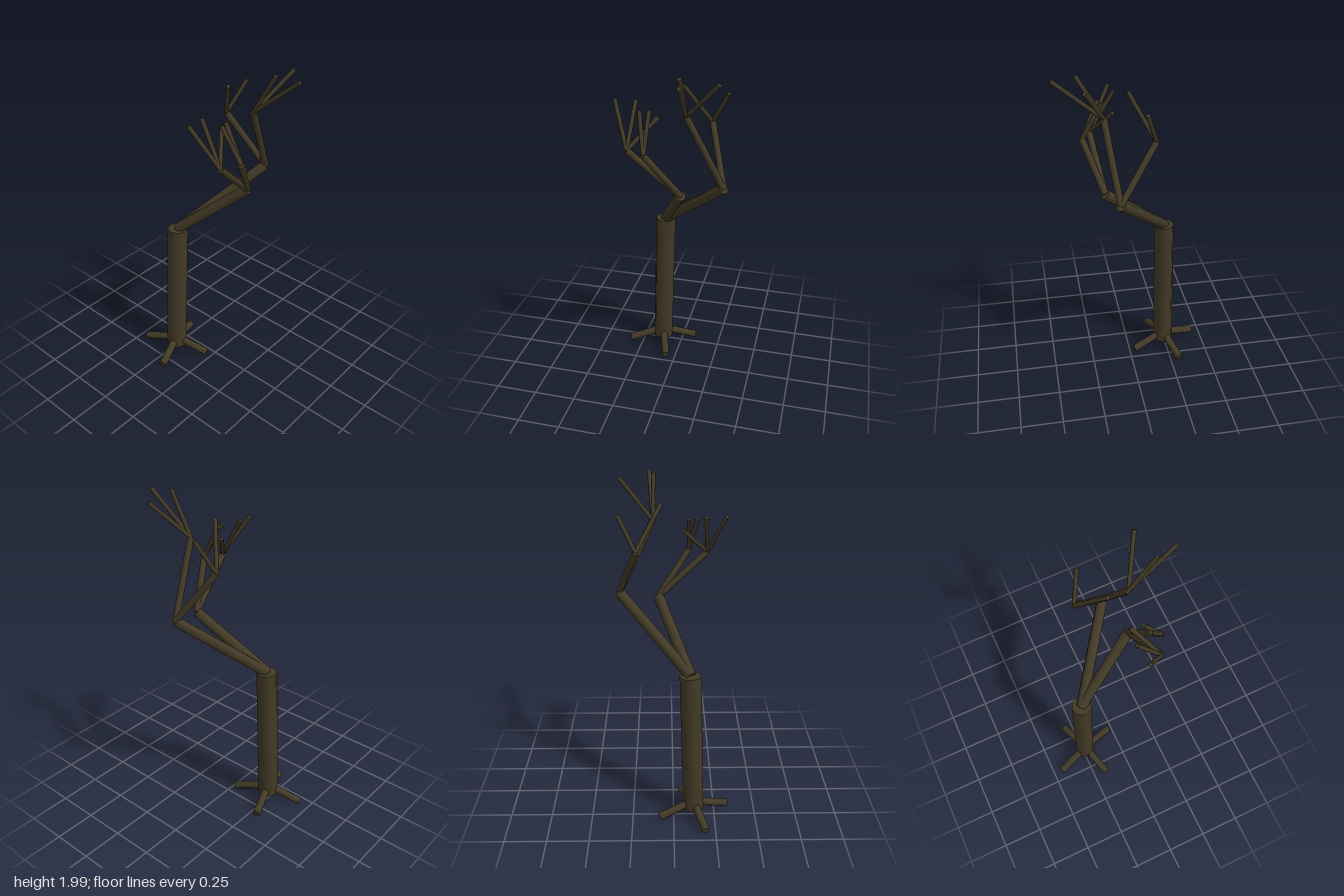
import * as THREE from 'three';

export function createModel() {
  const tree = new THREE.Group();
  tree.name = 'bareTree';
  const bark = new THREE.MeshStandardMaterial({ color: 0x433a26 });
  bark.name = 'darkBark';
  const up = new THREE.Vector3(0, 1, 0);

  // A closed, round limb running between two points
  function limb(name, from, to, r0, r1 = r0) {
    const a = new THREE.Vector3(...from);
    const b = new THREE.Vector3(...to);
    const dir = b.clone().sub(a);
    const mesh = new THREE.Mesh(new THREE.CylinderGeometry(r1, r0, dir.length(), 8), bark);
    mesh.name = name;
    mesh.position.copy(a).add(b).multiplyScalar(0.5);
    mesh.quaternion.setFromUnitVectors(up, dir.normalize());
    tree.add(mesh);
  }

  // Trunk, leaning slightly
  const base = [-0.235, 0.05, 0.122];
  const crown = [-0.217, 0.95, 0.096];
  limb('trunk', base, crown, 0.062);

  // Four roots spread at right angles
  for (let i = 0; i < 4; i++) {
    const t = 0.32 + (i * Math.PI) / 2;
    limb('root', [base[0], 0.095, base[2]],
      [base[0] + 0.217 * Math.cos(t), 0.03, base[2] - 0.217 * Math.sin(t)], 0.024);
  }

  // Boughs, each forking into branches that end in twigs
  const boughs = [
    { end: [0.113, 1.335, -0.315], branches: [
      { end: [-0.097, 1.64, -0.207], twigs: [[-0.03, 1.83, -0.305], [0.032, 1.875, -0.068]] },
      { end: [0.168, 1.75, -0.115],
        twigs: [[0.31, 1.99, -0.11], [0.285, 1.965, -0.307], [0.437, 1.98, -0.138]] },
    ] },
    { end: [0.165, 1.29, -0.085], branches: [
      { end: [0.265, 1.55, 0.096], twigs: [[0.15, 1.76, 0.092], [0.165, 1.76, 0.142]] },
      { end: [0.212, 1.55, 0.203],
        twigs: [[0.085, 1.79, 0.302], [0.07, 1.79, 0.187], [0.095, 1.71, 0.056]] },
    ] },
  ];
  for (const bough of boughs) {
    limb('bough', crown, bough.end, 0.032, 0.031);
    for (const branch of bough.branches) {
      limb('branch', bough.end, branch.end, 0.019);
      for (const tip of branch.twigs) limb('twig', branch.end, tip, 0.012);
    }
  }
  return tree;
}
